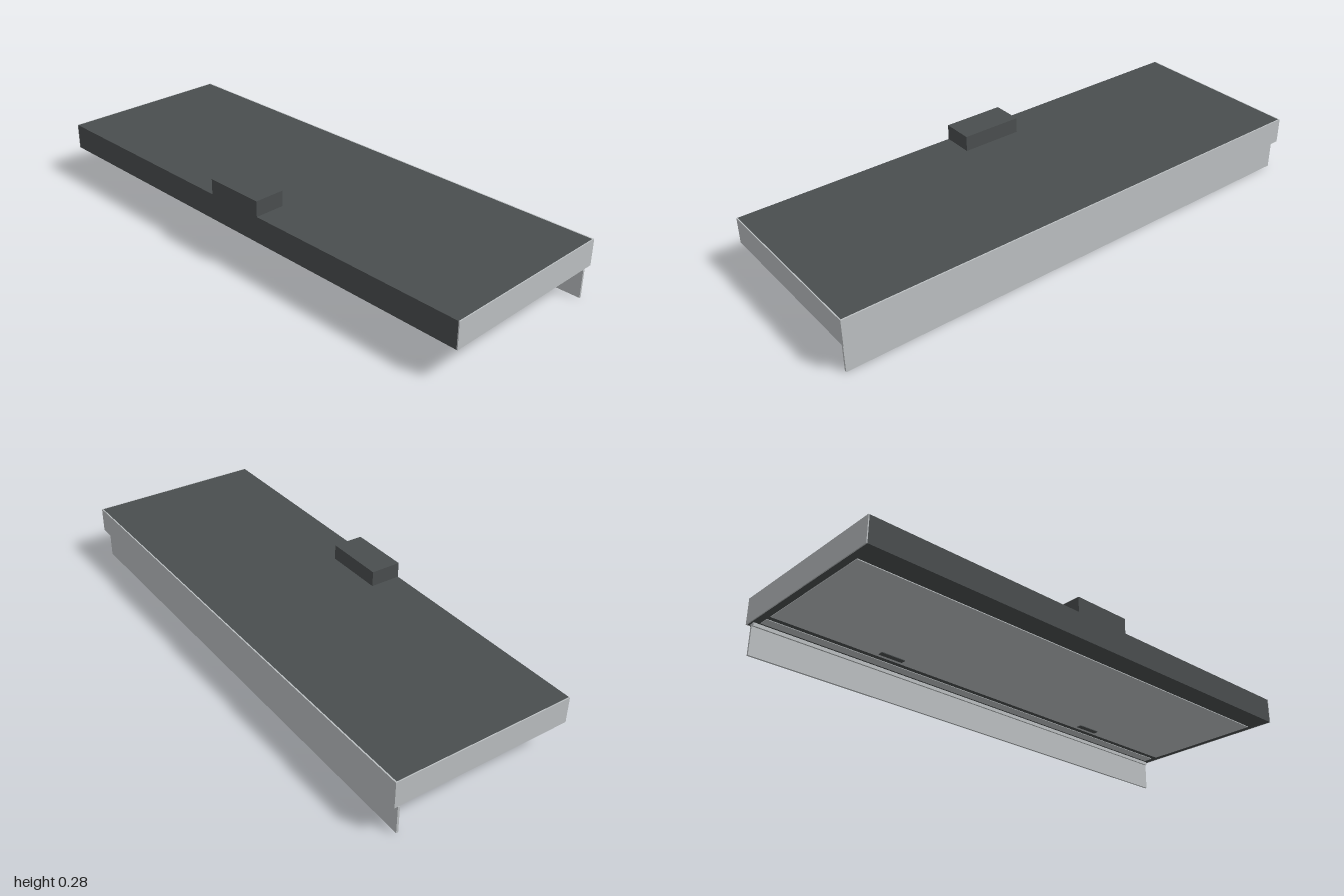
import * as THREE from 'three';

const dark = new THREE.MeshStandardMaterial({ color: 0x4a4e4f });
dark.name = 'charcoal';
const light = new THREE.MeshStandardMaterial({ color: 0xbcc0c2 });
light.name = 'lightGrey';

// Box given by its min/max limits on each axis
function slab(name, mat, [x0, x1], [y0, y1], [z0, z1]) {
  const mesh = new THREE.Mesh(new THREE.BoxGeometry(x1 - x0, y1 - y0, z1 - z0), mat);
  mesh.position.set((x0 + x1) / 2, (y0 + y1) / 2, (z0 + z1) / 2);
  mesh.name = name;
  return mesh;
}

export function createModel() {
  const g = new THREE.Group();
  g.name = 'canopy';

  // Main housing with its control box on the rear edge
  g.add(slab('housing', dark, [-0.35, 0.345], [0.12, 0.22], [-0.996, 0.996]));
  g.add(slab('controlBox', dark, [-0.35, -0.23], [0.22, 0.28], [-0.12, 0.12]));

  // Light cladding on both ends and along the +x side
  for (const s of [-1, 1]) {
    const z = s > 0 ? [0.996, 1] : [-1, -0.996];
    g.add(slab('endPanel', light, [-0.35, 0.35], [0.12, 0.22], z));
  }
  g.add(slab('sidePanel', light, [0.345, 0.35], [0.12, 0.22], [-0.996, 0.996]));

  // Underside: large flush panel, its latches and a narrow strip
  g.add(slab('bottomPanel', light, [-0.26, 0.24], [0.117, 0.12], [-0.97, 0.97]));
  for (const z of [-0.5, 0.5]) {
    g.add(slab('panelLatch', dark, [0.2, 0.222], [0.114, 0.117], [z - 0.05, z + 0.05]));
  }
  g.add(slab('bottomStrip', light, [0.265, 0.305], [0.118, 0.12], [-0.97, 0.97]));

  // Hanging flap on its rail, with a dark seal on the outside
  g.add(slab('flapRail', light, [0.315, 0.335], [0.107, 0.12], [-0.99, 0.99]));
  g.add(slab('railSeal', dark, [0.335, 0.338], [0.11, 0.12], [-0.99, 0.99]));
  g.add(slab('flap', light, [0.322, 0.33], [0, 0.107], [-0.992, 0.992]));

  return g;
}
